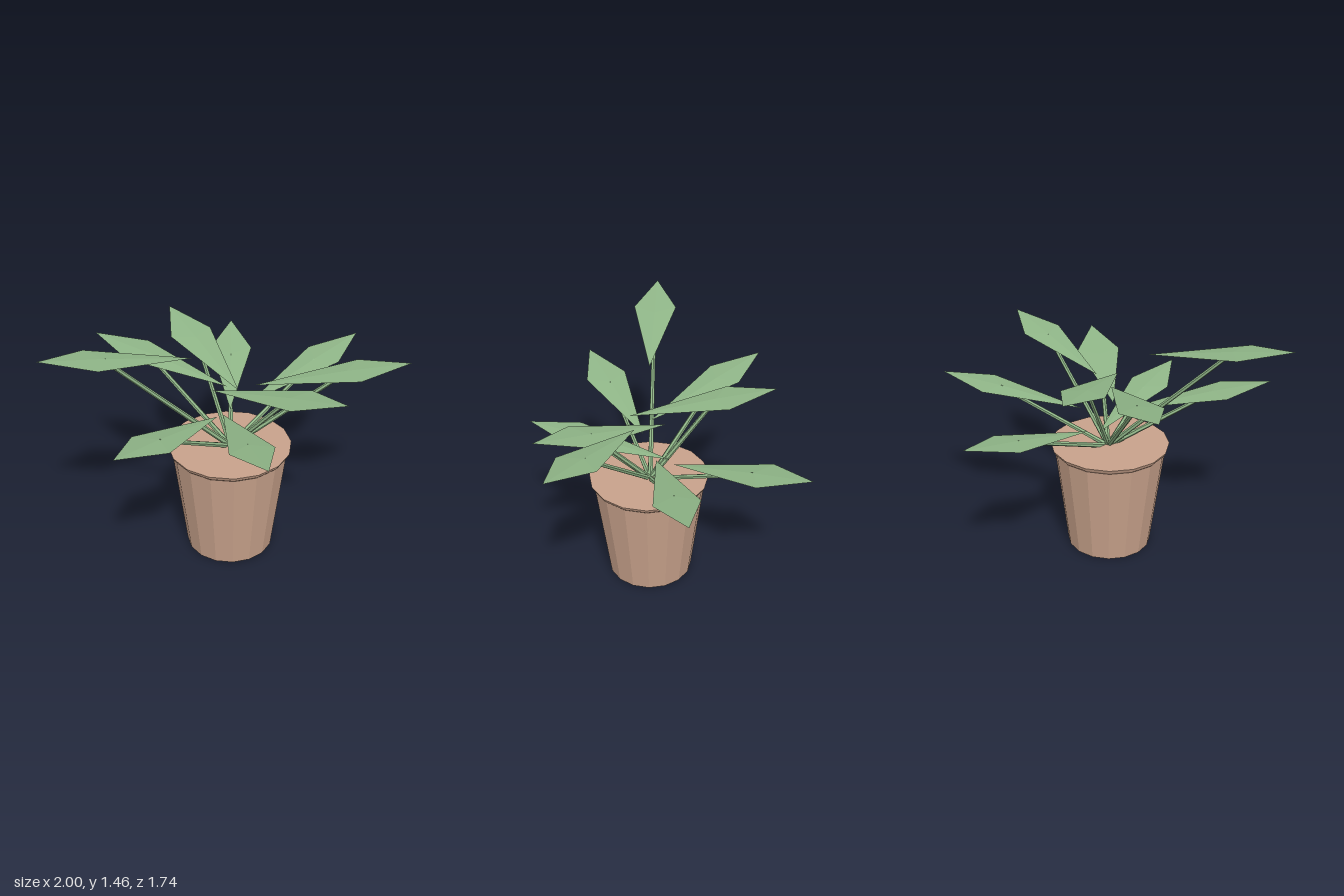
import * as THREE from 'three';

const terracotta = new THREE.MeshStandardMaterial({ color: 0xc8a28b, flatShading: true });
terracotta.name = 'terracotta';
const leafGreen = new THREE.MeshStandardMaterial({ color: 0x8fb587, flatShading: true });
leafGreen.name = 'leafGreen';

const ROOT = new THREE.Vector3(0, 0.66, 0.15);
const UP = new THREE.Vector3(0, 1, 0);

// Each leaf: [base point, tip point]
const LEAVES = [
  [[0.01, 0.81, -0.01], [0.075, 0.975, -0.87]],
  [[0.13, 0.9, 0.05], [0.825, 1.07, -0.445]],
  [[0.135, 1.08, 0.18], [0.99, 1.24, 0.275]],
  [[-0.1, 1.0, 0.09], [0.595, 1.16, 0.575]],
  [[-0.035, 0.805, 0.04], [0.145, 0.97, 0.87]],
  [[-0.08, 0.91, 0.23], [-0.635, 1.073, 0.87]],
  [[-0.215, 1.297, 0.243], [-1.005, 1.463, 0.543]],
  [[-0.02, 1.06, 0.15], [-0.765, 1.225, -0.248]],
  [[0.037, 1.096, 0.26], [-0.328, 1.26, -0.508]],
];

// Kite-shaped blade: thin lens with four rim corners and a raised middle
function leafGeometry(base, tip) {
  const along = tip.clone().sub(base).normalize();
  const side = along.clone().cross(UP).normalize();
  const normal = side.clone().cross(along);
  const wide = base.clone().lerp(tip, 0.67);
  const middle = base.clone().lerp(tip, 0.59);
  const rim = [
    wide.clone().addScaledVector(side, 0.13),
    tip,
    wide.clone().addScaledVector(side, -0.13),
    base,
  ];
  const top = middle.clone().addScaledVector(normal, 0.009);
  const bottom = middle.clone().addScaledVector(normal, -0.009);
  const points = [];
  rim.forEach((a, i) => {
    const b = rim[(i + 1) % 4];
    points.push(top, a, b, bottom, b, a);
  });
  const geometry = new THREE.BufferGeometry().setFromPoints(points);
  geometry.computeVertexNormals();
  return geometry;
}

// Straight thin stalk between two points
function stemMesh(from, to) {
  const dir = to.clone().sub(from);
  const mesh = new THREE.Mesh(new THREE.CylinderGeometry(0.012, 0.016, dir.length(), 6), leafGreen);
  mesh.position.copy(from).addScaledVector(dir, 0.5);
  mesh.quaternion.setFromUnitVectors(UP, dir.normalize());
  mesh.name = 'stem';
  return mesh;
}

export function createModel() {
  const model = new THREE.Group();
  model.name = 'pottedPlant';

  // Tapered sixteen-sided pot with a small flared lip and a closed top
  const profile = [[0, 0], [0.26, 0], [0.34, 0.65], [0.352, 0.662], [0.361, 0.682], [0, 0.682]]
    .map(([r, y]) => new THREE.Vector2(r, y));
  const pot = new THREE.Mesh(new THREE.LatheGeometry(profile, 16), terracotta);
  pot.position.set(-0.004, 0, 0.16);
  pot.name = 'pot';
  model.add(pot);

  // Leaves, each on its own stem
  for (const [b, t] of LEAVES) {
    const base = new THREE.Vector3(...b);
    const tip = new THREE.Vector3(...t);
    const frond = new THREE.Group();
    frond.name = 'frond';
    const leaf = new THREE.Mesh(leafGeometry(base, tip), leafGreen);
    leaf.name = 'leaf';
    frond.add(leaf, stemMesh(ROOT, base.clone().lerp(tip, 0.585)));
    model.add(frond);
  }
  return model;
}
